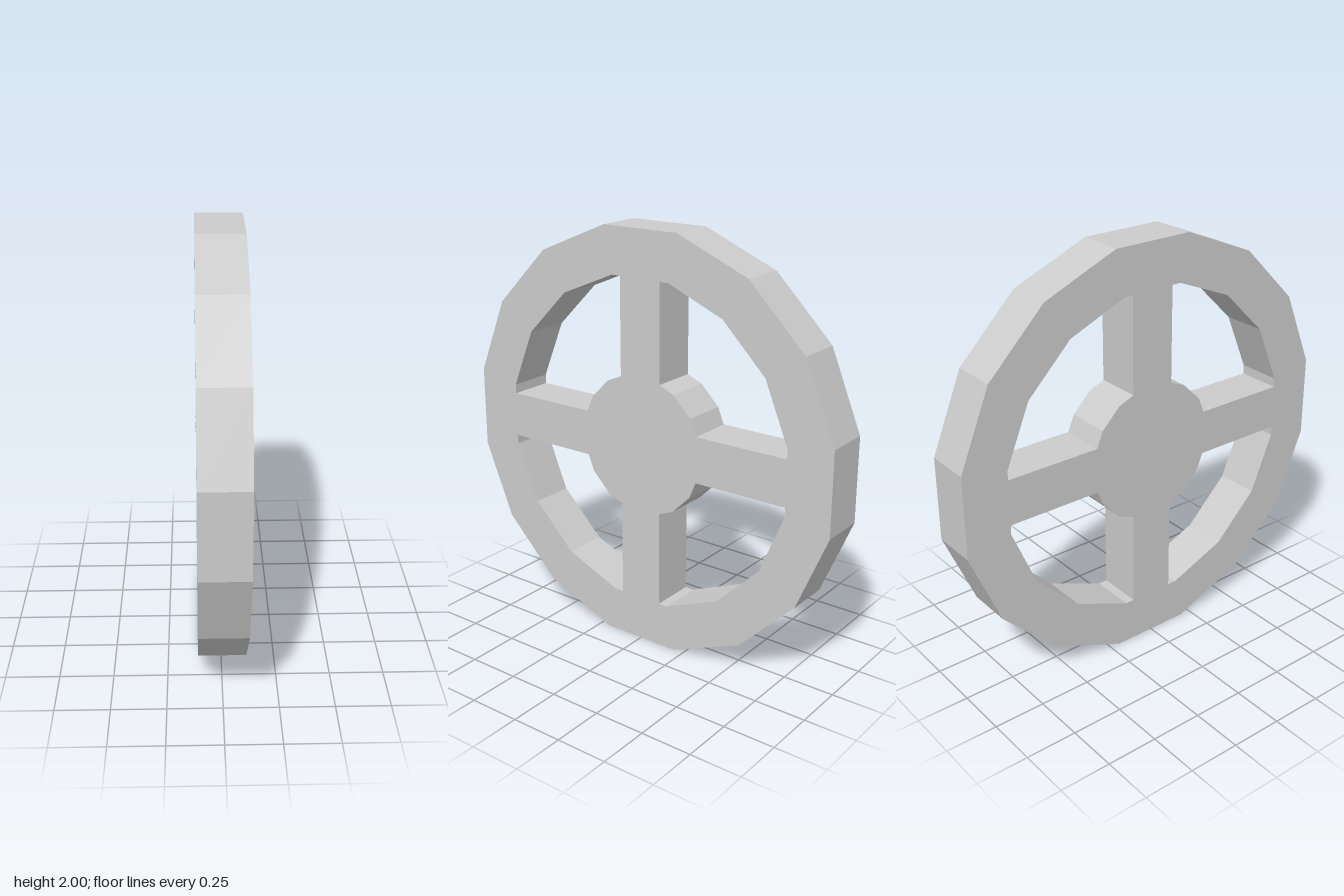
import * as THREE from 'three';

const SIDES = 16;
const RIM_OUTER = 1.0;    // distances from the axle to the flats
const RIM_INNER = 0.78;
const HUB = 0.332;
const SPOKE_HALF = 0.11;
const WIDTH = 0.22;

// Corner i of a regular polygon whose flats lie on the axes
function corner(apothem, i) {
  const r = apothem / Math.cos(Math.PI / SIDES);
  const a = ((i + 0.5) * 2 * Math.PI) / SIDES;
  return new THREE.Vector2(r * Math.cos(a), r * Math.sin(a));
}

// Height of the hub's outline where it meets the side of a spoke
function hubAtSpoke() {
  const a = corner(HUB, 2), b = corner(HUB, 3);
  const t = (SPOKE_HALF - a.x) / (b.x - a.x);
  return a.y + t * (b.y - a.y);
}

// Opening between two neighbouring spokes, turned by whole quarters
function opening(quarter) {
  const meet = hubAtSpoke();
  const points = [
    new THREE.Vector2(RIM_INNER, SPOKE_HALF),
    ...[0, 1, 2, 3].map((i) => corner(RIM_INNER, i)),
    new THREE.Vector2(SPOKE_HALF, RIM_INNER),
    new THREE.Vector2(SPOKE_HALF, meet),
    corner(HUB, 2),
    corner(HUB, 1),
    new THREE.Vector2(meet, SPOKE_HALF),
  ];
  const centre = new THREE.Vector2();
  points.forEach((p) => p.rotateAround(centre, (quarter * Math.PI) / 2));
  return new THREE.Path(points);
}

export function createModel() {
  const group = new THREE.Group();
  group.name = 'spokedWheel';

  // Rim, four spokes and hub share one flat-sided outline
  const shape = new THREE.Shape(Array.from({ length: SIDES }, (_, i) => corner(RIM_OUTER, i)));
  for (let q = 0; q < 4; q++) shape.holes.push(opening(q));

  const geometry = new THREE.ExtrudeGeometry(shape, { depth: WIDTH, bevelEnabled: false });
  geometry.translate(0, 0, -WIDTH / 2);
  geometry.rotateY(Math.PI / 2); // axle along x

  const wheel = new THREE.Mesh(
    geometry,
    new THREE.MeshStandardMaterial({ color: 0xcccccc, flatShading: true })
  );
  wheel.name = 'wheel';
  wheel.position.y = RIM_OUTER;
  group.add(wheel);

  return group;
}
